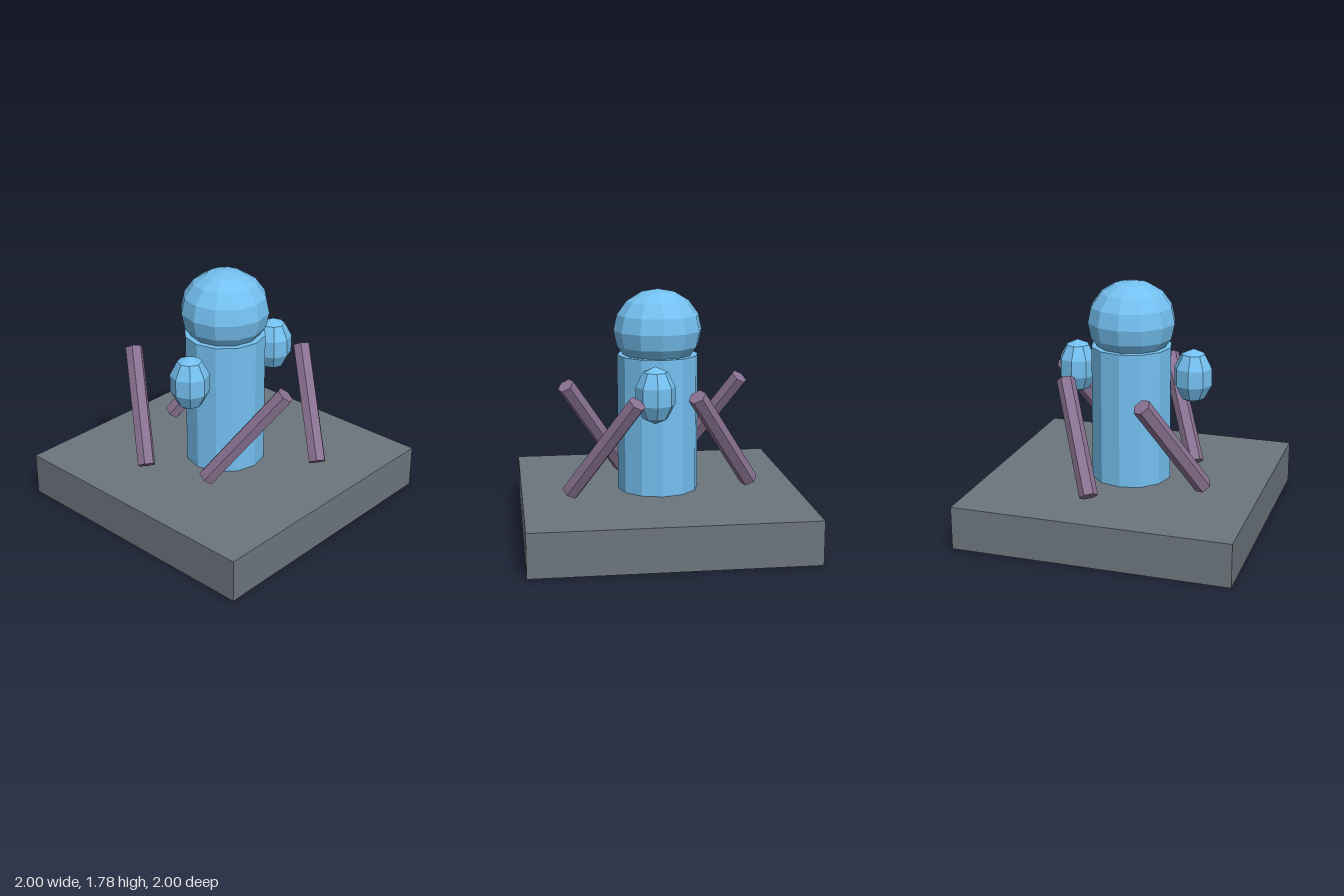
import * as THREE from 'three';

const material = (color) => new THREE.MeshStandardMaterial({ color, flatShading: true });

export function createModel() {
  const group = new THREE.Group();
  const slate = material(0x6c757d);
  const blue = material(0x74c0f0);
  const purple = material(0x8a7292);

  const add = (name, geometry, mat, x, y, z) => {
    const mesh = new THREE.Mesh(geometry, mat);
    mesh.name = name;
    mesh.position.set(x, y, z);
    group.add(mesh);
    return mesh;
  };

  // Square base slab
  const baseHeight = 0.314;
  add('base', new THREE.BoxGeometry(2, baseHeight, 2), slate, 0, baseHeight / 2, 0);

  // Twelve-sided column with a slightly squashed ball on top
  const columnHeight = 0.99;
  add('column', new THREE.CylinderGeometry(0.294, 0.294, columnHeight, 12), blue,
    0, baseHeight + columnHeight / 2, 0);
  add('head', new THREE.SphereGeometry(0.32, 12, 8), blue, 0, 1.48, 0).scale.y = 0.922;

  // Egg-shaped side lobes
  const lobe = new THREE.SphereGeometry(0.146, 8, 5);
  for (const [side, name] of [[1, 'leftLobe'], [-1, 'rightLobe']]) {
    add(name, lobe, blue, side * 0.44, 1.088, 0.075).scale.y = 1.385;
  }

  // Four hexagonal beams, all leaning to +x and alternately forward and back
  const beam = new THREE.CylinderGeometry(0.066, 0.066, 0.884, 6);
  const beams = [
    ['frontLeftBeam', 0.44, 0.44, -1],
    ['frontRightBeam', -0.266, 0.44, 1],
    ['backLeftBeam', 0.266, -0.44, 1],
    ['backRightBeam', -0.44, -0.44, -1],
  ];
  for (const [name, x, z, lean] of beams) {
    add(name, beam, purple, x, 0.72, z)
      .rotation.set(lean * Math.PI / 6, 0, -THREE.MathUtils.degToRad(25), 'ZYX');
  }

  return group;
}
